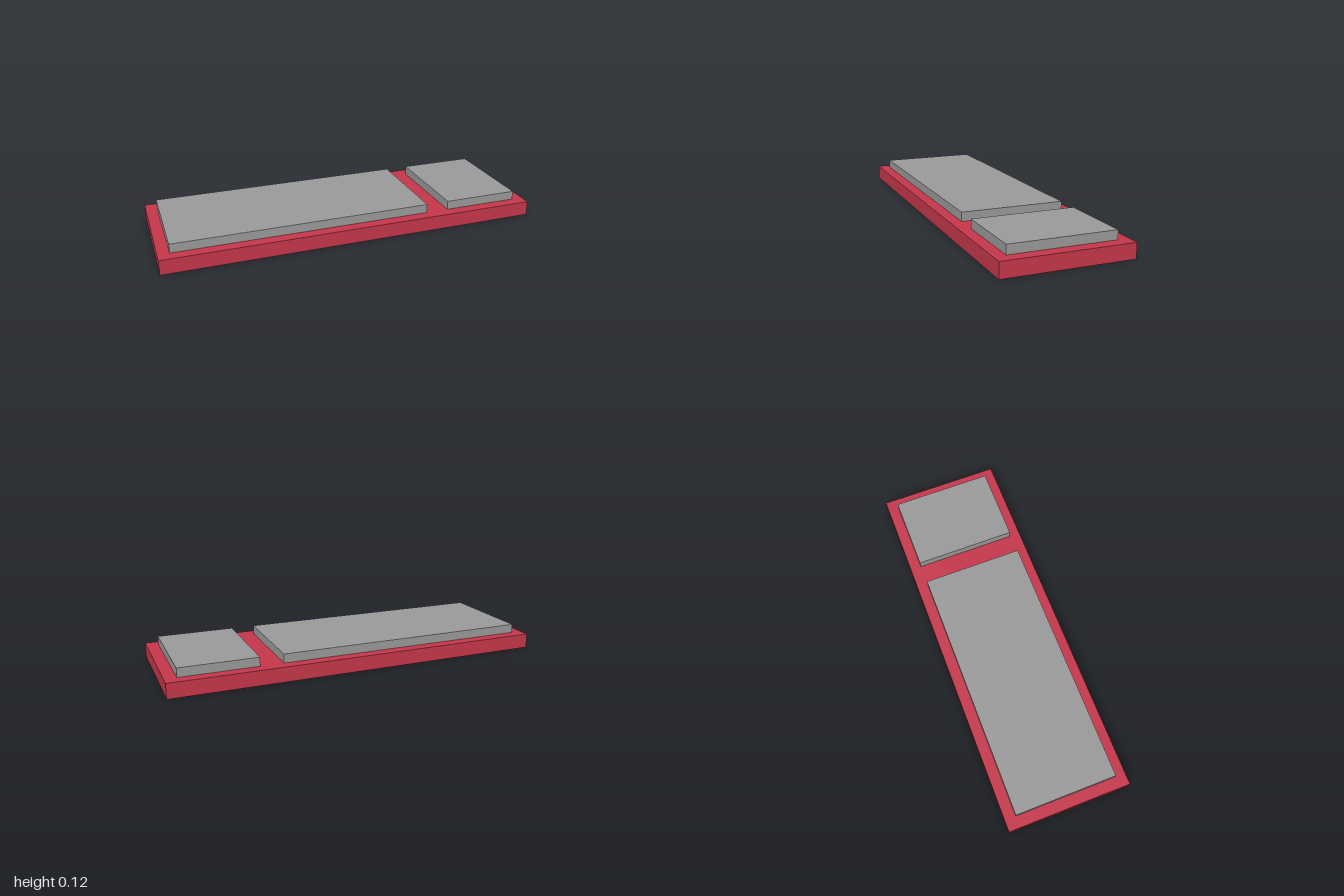
import * as THREE from 'three';

export function createModel() {
  const model = new THREE.Group();
  const red = new THREE.MeshStandardMaterial({ color: 0xc4364a });
  red.name = 'red';
  const grey = new THREE.MeshStandardMaterial({ color: 0x999999 });
  grey.name = 'grey';

  // Box spanning x0..x1 and y0..y1, centred on z = 0
  function addSlab(name, material, x0, x1, y0, y1, depth) {
    const mesh = new THREE.Mesh(new THREE.BoxGeometry(x1 - x0, y1 - y0, depth), material);
    mesh.position.set((x0 + x1) / 2, (y0 + y1) / 2, 0);
    mesh.name = name;
    model.add(mesh);
  }

  const baseTop = 0.078;
  const panelTop = 0.125;
  const panelDepth = 0.542;

  // Base tray
  addSlab('base', red, -1, 1, 0, baseTop, 0.66);
  // Two raised panels separated by a gap
  addSlab('largePanel', grey, -0.94, 0.413, baseTop, panelTop, panelDepth);
  addSlab('smallPanel', grey, 0.535, 0.938, baseTop, panelTop, panelDepth);

  return model;
}
